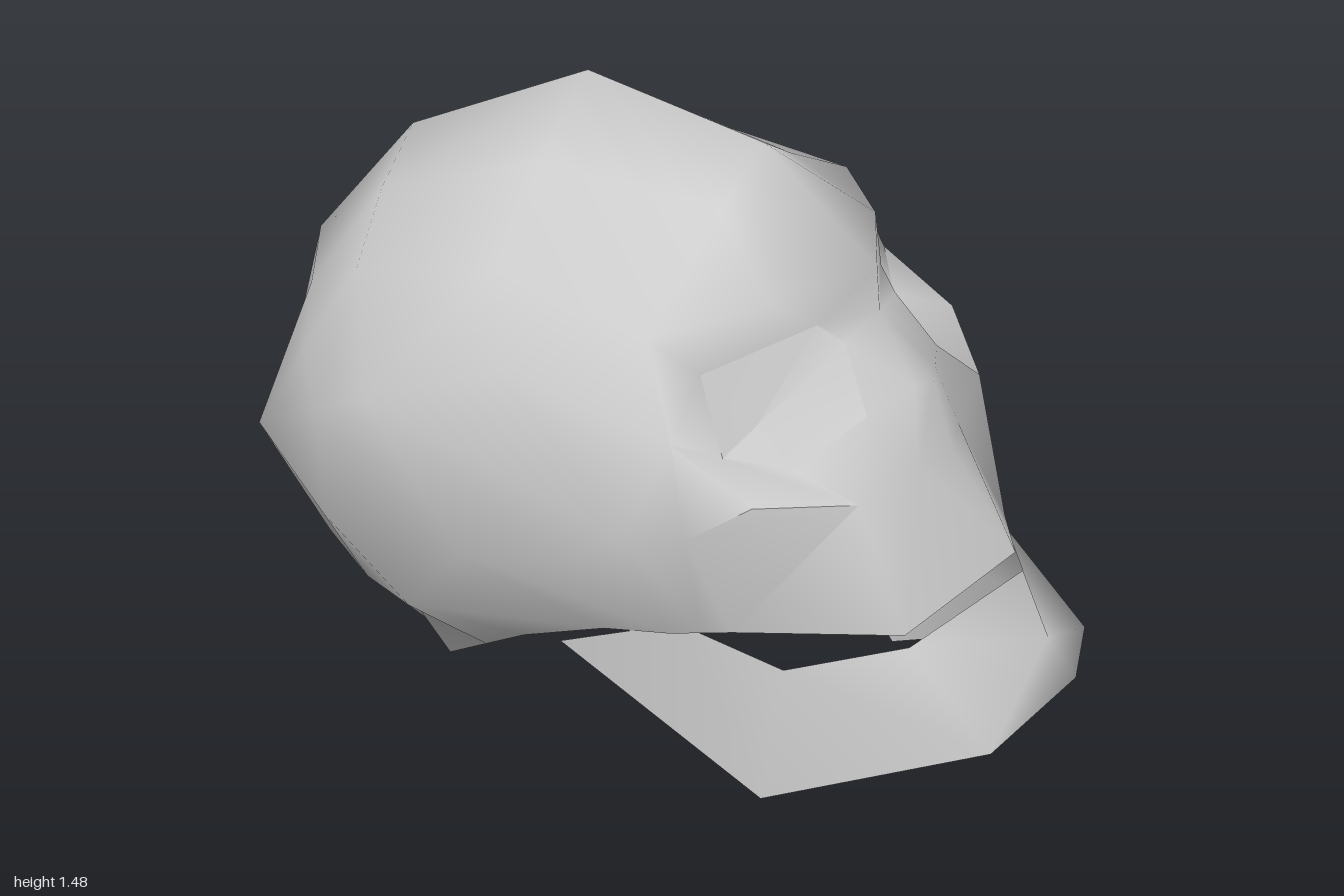
import * as THREE from 'three';
import { mergeVertices, toCreasedNormals } from 'three/addons/utils/BufferGeometryUtils.js';

const bone = new THREE.MeshStandardMaterial({ color: 0xcccccc, side: THREE.DoubleSide });
bone.name = 'bone';

// Builds a symmetric shell from polygons given for the +z half only.
function mirroredShell(name, polygons, crease) {
  const pos = [];
  const tri = (a, b, c) => {
    pos.push(...a, ...b, ...c);
    for (const p of [a, c, b]) pos.push(p[0], p[1], -p[2]);
  };
  for (const p of polygons)
    for (let i = 1; i < p.length - 1; i++) tri(p[0], p[i], p[i + 1]);
  let geo = new THREE.BufferGeometry();
  geo.setAttribute('position', new THREE.Float32BufferAttribute(pos, 3));
  geo = toCreasedNormals(mergeVertices(geo), crease);
  const mesh = new THREE.Mesh(geo, bone);
  mesh.name = name;
  return mesh;
}

// Half ribs of the braincase, nape to forehead, each from midline to lower rim
const ribs = [
  [[-.55, .015, 0], [-.525, .025, .06], [-.5, .036, .12], [-.47, .048, .18], [-.445, .06, .24], [-.42, .07, .3]],
  [[-.9, .25, 0], [-.85, .26, .14], [-.77, .28, .27], [-.6, .26, .36], [-.44, .24, .385], [-.28, .18, .355]],
  [[-1, .56, 0], [-.935, .58, .185], [-.87, .6, .37], [-.62, .49, .475], [-.35, .38, .545], [-.14, .29, .41]],
  [[-.94, .92, 0], [-.83, .89, .19], [-.71, .845, .385], [-.61, .775, .49], [-.2, .57, .555], [.08, .4, .43]],
  [[-.66, 1.25, 0], [-.61, 1.185, .2], [-.54, 1.1, .4], [-.41, .91, .58], [.05, .63, .55], [.26, .47, .46]],
  [[-.2, 1.48, 0], [-.2, 1.345, .19], [-.19, 1.185, .4], [-.1, 1.035, .512], [.2, .74, .55], [.33, .49, .45]],
  [[.22, 1.41, 0], [.21, 1.32, .15], [.2, 1.16, .445], [.28, .96, .49], [.35, .79, .555], [.4, .51, .44]],
];
const brow = [.49, 1.19, 0], browSide = [.37, 1.18, .24];

// Splits a quad along the diagonal that bulges further from the skull's middle
function bulgingQuad(a, b, c, d) {
  const reach = (p, q) => Math.hypot((p[0] + q[0]) / 2 + .1, (p[1] + q[1]) / 2 - .7, (p[2] + q[2]) / 2);
  return reach(a, c) > reach(b, d) ? [a, b, c, d] : [b, c, d, a];
}

function craniumPolygons() {
  const [M, A, B] = ribs[6];
  const out = [[M, A, browSide, brow], [A, B, browSide]];
  for (let i = 0; i < ribs.length - 1; i++)
    for (let j = 0; j < 5; j++)
      out.push(bulgingQuad(ribs[i][j], ribs[i][j + 1], ribs[i + 1][j + 1], ribs[i + 1][j]));
  return out;
}

// Eye socket rim, counter-clockwise from the inner brow
const rim = [[.43, 1.11, .15], [.28, 1.06, .37], [.35, .9, .4], [.47, .86, .31], [.56, .94, .17], [.48, 1.07, .12]];

function facePolygons() {
  const [, , B, C, D, R] = ribs[6];
  const [o2, o3, o4, o5, o6, o1] = rim;
  const bridge = [.5, 1.09, 0], nose = [.63, .96, 0], noseWing = [.61, .965, .05];
  const noseBase = [.68, .81, 0], nostril = [.65, .81, .1];
  const cheek = [.61, .815, .3], cheekSide = [.46, .86, .48];
  const jawSide = [.71, .5, .26], jawFront = [.84, .6, 0];
  return [
    // brow
    [brow, browSide, o2], [brow, o2, bridge], [bridge, o2, o1], [browSide, B, o3, o2],
    // temple and cheekbone
    [B, C, o3], [C, o4, o3], [C, cheekSide, o4], [C, D, cheekSide],
    [o4, cheekSide, cheek, o5], [o5, cheek, o6], [cheek, cheekSide, D],
    // nose
    [o6, cheek, nostril], [o6, nostril, noseWing], [bridge, o1, noseWing, nose], [o1, o6, noseWing],
    [nose, noseWing, nostril, noseBase],
    // upper jaw
    [noseBase, nostril, jawFront], [nostril, jawSide, jawFront], [nostril, cheek, jawSide],
    [cheek, D, R, jawSide],
  ];
}

function socketPolygons() {
  const deep = [.38, .94, .31];
  return rim.map((p, i) => [deep, p, rim[(i + 1) % rim.length]]);
}

function jawPolygons() {
  const hinge = [.26, .47, .42], back = [0, .37, .48], corner = [.42, 0, .335], notch = [.45, .34, .3];
  const top = [.72, .47, .255], base = [.92, .27, .26], topMid = [.86, .56, 0];
  const chin = [.93, .41, 0], tip = [1, .33, 0], under = [.92, .27, 0];
  return [
    [hinge, back, corner, notch], [notch, corner, base, top],
    [top, base, chin], [base, tip, chin], [top, chin, topMid], [base, under, tip],
  ];
}

export function createModel() {
  const group = new THREE.Group();
  group.name = 'skull';
  group.add(
    mirroredShell('craniumAndFace', [...craniumPolygons(), ...facePolygons()], 1.4),
    mirroredShell('eyeSockets', socketPolygons(), 0.3),
    mirroredShell('lowerJaw', jawPolygons(), Math.PI),
  );
  return group;
}
